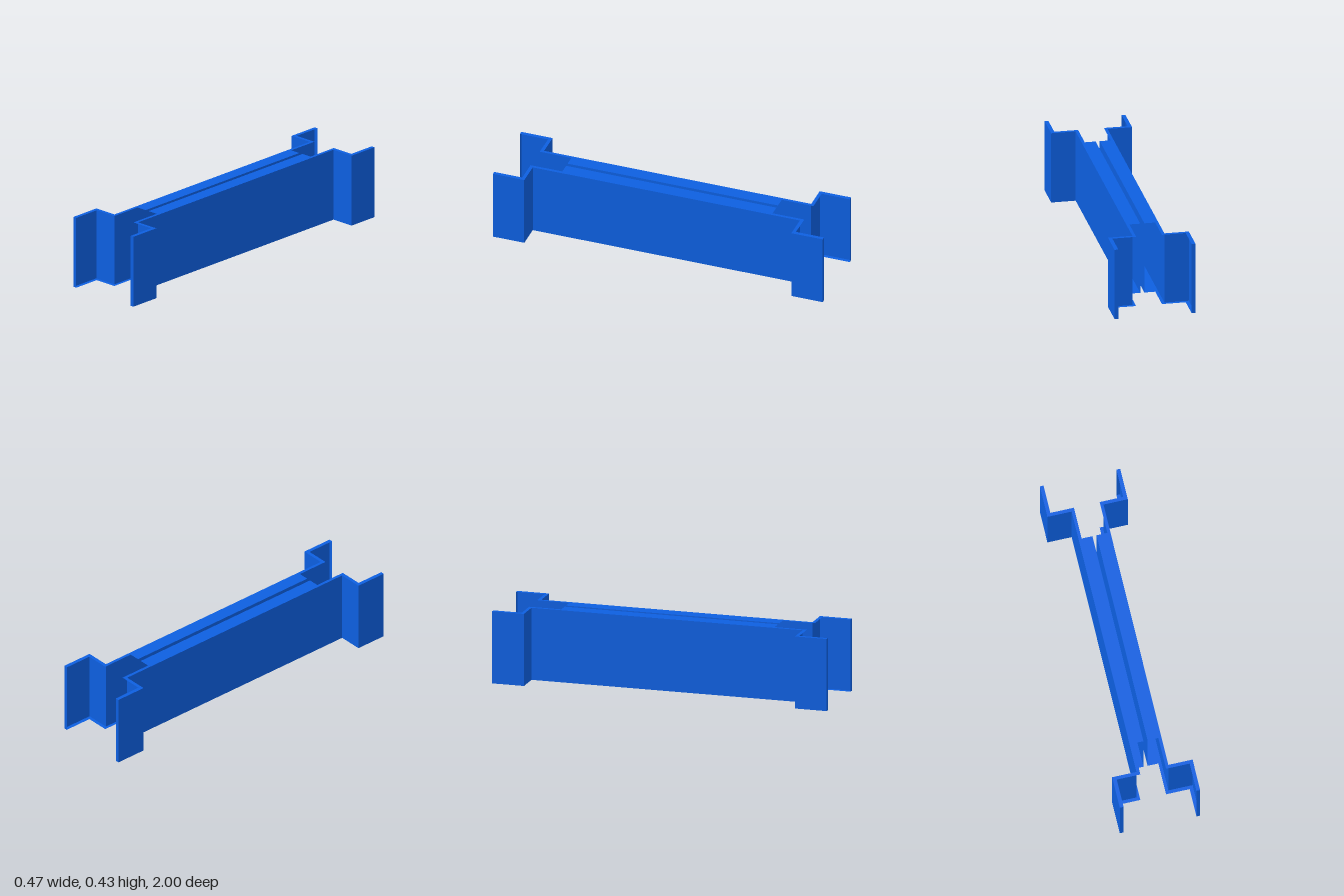
import * as THREE from 'three';

const H = 0.425;
const blue = new THREE.MeshStandardMaterial({ color: 0x0d5fe0, side: THREE.DoubleSide });

// Upright sheet between two plan points [x, z]
function sheet(name, [x0, z0], [x1, z1]) {
  const geo = new THREE.PlaneGeometry(Math.hypot(x1 - x0, z1 - z0), H);
  const mesh = new THREE.Mesh(geo, blue);
  mesh.name = name;
  mesh.rotation.y = Math.atan2(-(z1 - z0), x1 - x0);
  mesh.position.set((x0 + x1) / 2, H / 2, (z0 + z1) / 2);
  return mesh;
}

// Flat horizontal plate from a plan outline
function plate(name, outline, y) {
  const shape = new THREE.Shape(outline.map(([x, z]) => new THREE.Vector2(x, z)));
  const mesh = new THREE.Mesh(new THREE.ShapeGeometry(shape).rotateX(Math.PI / 2), blue);
  mesh.name = name;
  mesh.position.y = y;
  return mesh;
}

// One folded channel; s = 1 for the left (+x), -1 for the right
function channel(s) {
  const group = new THREE.Group();
  group.name = s > 0 ? 'leftChannel' : 'rightChannel';
  const side = (pts) => pts.map(([x, z]) => [s * x, z]);
  const back = (pts) => pts.map(([x, z]) => [x, -z]).reverse();

  // Plan of the front half: outer fold line and inner rim line
  const fold = side([[0.093, 0.81], [0.235, 0.81], [0.235, 1], [0.213, 1]]);
  const rim = side([[0.213, 0.83], [0.075, 0.83], [0.075, 0.638], [0.012, 0.638]]);

  // Long outer wall and inner web
  group.add(sheet('outerWall', fold[0], back(fold)[3]));
  group.add(sheet('innerWeb', rim[3], back(rim)[0]));

  // Stepped bracket at each end
  const parts = ['endStep', 'endFlange', 'endLip'];
  for (const path of [fold, back(fold).reverse()])
    parts.forEach((name, i) => group.add(sheet(name, path[i], path[i + 1])));

  // Top and bottom plates carrying the narrow rims
  const outline = [...fold, ...rim, ...back(rim), ...back(fold)];
  group.add(plate('bottomPlate', outline, 0), plate('topPlate', outline, H));
  return group;
}

export function createModel() {
  const model = new THREE.Group();
  model.name = 'channelPair';
  model.add(channel(1), channel(-1));
  return model;
}
